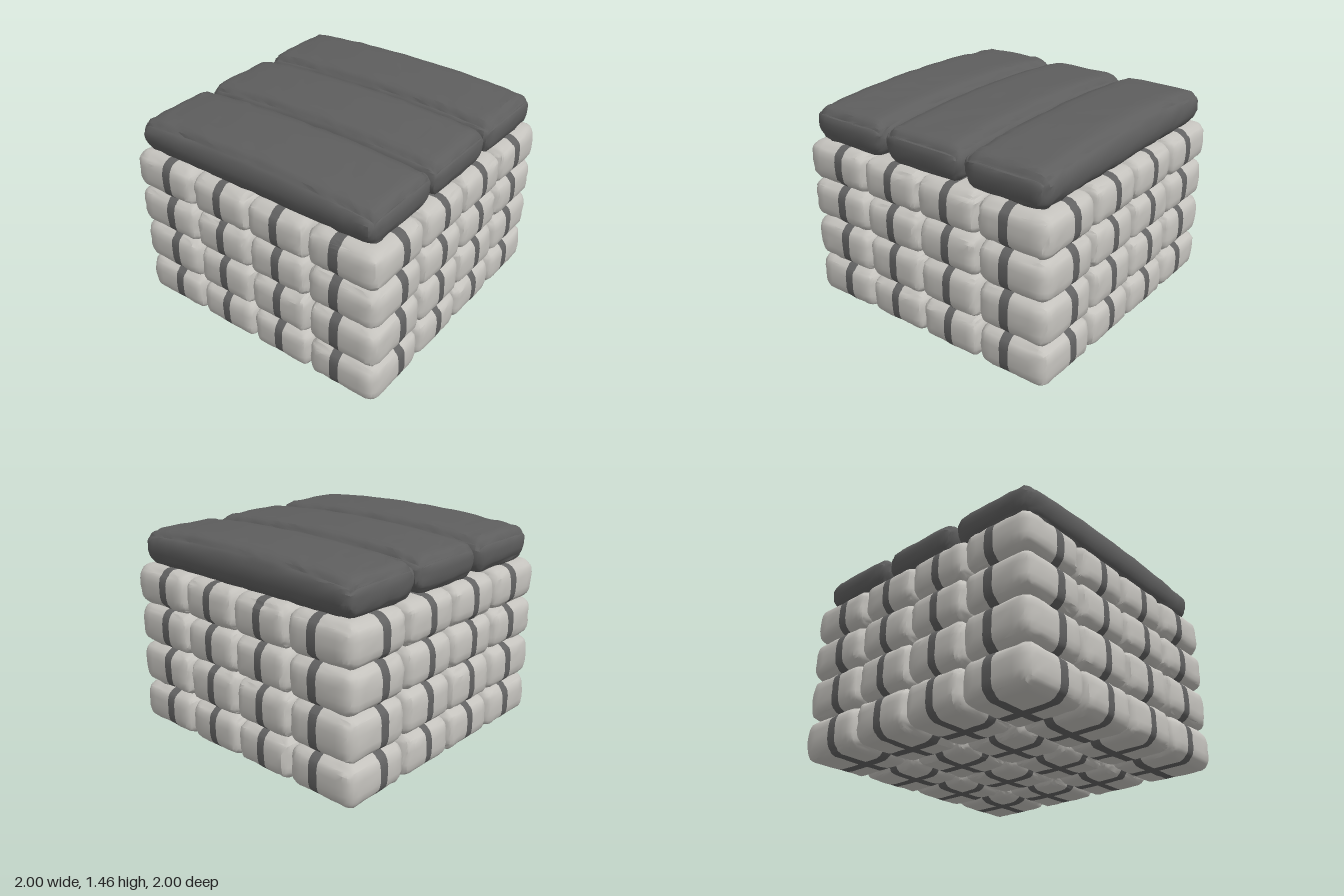
import * as THREE from 'three';
import { toCreasedNormals } from 'three/addons/utils/BufferGeometryUtils.js';

const fabric = new THREE.MeshStandardMaterial({ color: 0xc4c2bd });
fabric.name = 'pale fabric';
const webbing = new THREE.MeshStandardMaterial({ color: 0x626262 });
webbing.name = 'grey webbing';
const tarp = new THREE.MeshStandardMaterial({ color: 0x5e5e5e });
tarp.name = 'dark tarpaulin';

// Smooth repeatable noise, 0..1
function hash(x, y, z) {
  const s = Math.sin(x * 127.1 + y * 311.7 + z * 74.7) * 43758.5453;
  return s - Math.floor(s);
}
function noise(x, y, z) {
  const c = [x, y, z].map(Math.floor);
  const f = [x - c[0], y - c[1], z - c[2]].map((t) => t * t * (3 - 2 * t));
  let sum = 0;
  for (let i = 0; i < 8; i++) {
    const b = [i & 1, (i >> 1) & 1, i >> 2];
    const weight = b.reduce((w, on, a) => w * (on ? f[a] : 1 - f[a]), 1);
    sum += weight * hash(c[0] + b[0], c[1] + b[1], c[2] + b[2]);
  }
  return sum;
}

// Grid lines across a cushion, from -1 to 1
const STRAP = 0.128;
const mirrored = (half) => [...half.map((t) => -t).reverse(), ...half];
const wideLines = mirrored([STRAP, 0.4, 0.62, 0.78, 0.9, 1]);
const lowLines = [-1, -0.85, -0.62, -0.3, 0, 0.3, 0.62, 0.85, 1];
const longLines = Array.from({ length: 33 }, (_, i) => Math.sin(((i / 16 - 1) * Math.PI) / 2.3) / Math.sin(Math.PI / 2.3));

// Stuffed cushion: a box with elliptical edges and creases near the seams.
// shift moves the middle lines; crown lowers the ends of the top.
function cushion({ min, max, radii, lines, shift = [0, 0, 0], crease, crown = 0, straps = false }) {
  const n = lines.map((l) => l.length - 1);
  const geo = new THREE.BoxGeometry(2, 2, 2, ...n);
  const pos = geo.attributes.position;
  const isStrap = [];
  for (let i = 0; i < pos.count; i++) {
    const u = [0, 1, 2].map((a) => lines[a][Math.round(((pos.getComponent(i, a) + 1) / 2) * n[a])]);
    isStrap.push([Math.abs(u[0]) < STRAP + 0.01, Math.abs(u[2]) < STRAP + 0.01]);
    const core = [];
    const dir = new THREE.Vector3();
    for (let a = 0; a < 3; a++) {
      const half = (max[a] - min[a]) / 2;
      const p = half * (u[a] + shift[a] * (1 - u[a] * u[a]));
      const limit = half - radii[a];
      core[a] = THREE.MathUtils.clamp(p, -limit, limit);
      dir.setComponent(a, (p - core[a]) / radii[a]);
    }
    dir.normalize();
    const p = core.map((c, a) => c + dir.getComponent(a) * radii[a] + (min[a] + max[a]) / 2);
    // Folds deepen towards the edges of each face
    const order = u.map(Math.abs).sort();
    const depth = crease * (0.25 + 0.75 * order[1] ** 3);
    const fold = Math.abs(2 * noise(p[0] * 17 + 9, p[1] * 13 + 5, p[2] * 17 + 3) - 1);
    const push = depth * (0.6 * fold + 0.6 * noise(p[0] * 31, p[1] * 31, p[2] * 31));
    for (let a = 0; a < 3; a++) p[a] -= dir.getComponent(a) * push;
    if (u[1] > 0) p[1] -= crown * u[1] * u[2] * u[2];
    pos.setXYZ(i, ...p);
  }
  const index = geo.index.array;
  const plain = [];
  const banded = [];
  for (let t = 0; t < index.length; t += 3) {
    const corners = [0, 1, 2].map((k) => isStrap[index[t + k]]);
    const hit = straps && (corners.every((c) => c[0]) || corners.every((c) => c[1]));
    (hit ? banded : plain).push(t, t + 1, t + 2);
  }
  geo.clearGroups();
  const out = toCreasedNormals(geo, 0.6);
  out.setIndex([...plain, ...banded]);
  if (straps) {
    out.addGroup(0, plain.length, 0);
    out.addGroup(plain.length, banded.length, 1);
  }
  return out;
}

export function createModel() {
  const group = new THREE.Group();
  group.name = 'coveredStackOfBags';

  // Stack of strapped bags, four each way; the hidden core is left out
  const edges = [-1, -0.467, 0, 0.467, 1];
  const floors = [0.01, 0.307, 0.61, 0.897, 1.178];
  const lap = 0.006;
  const bags = new THREE.Group();
  bags.name = 'bags';
  const inner = (i) => i === 1 || i === 2;
  const span = (i) => [edges[i] - (i > 0 ? lap : 0), edges[i + 1] + (i < 3 ? lap : 0)];
  const strapShift = [0.16, 0, 0, -0.16];
  for (let j = 0; j < 4; j++) {
    for (let i = 0; i < 4; i++) {
      for (let k = 0; k < 4; k++) {
        if (inner(i) && inner(j) && inner(k)) continue;
        const [x0, x1] = span(i);
        const [z0, z1] = span(k);
        const bag = new THREE.Mesh(
          cushion({
            min: [x0, floors[j] - (j ? lap : 0), z0],
            max: [x1, floors[j + 1] + lap, z1],
            radii: [i === 0 || i === 3 ? 0.085 : 0.065, 0.1, k === 0 || k === 3 ? 0.085 : 0.065],
            lines: [wideLines, lowLines, wideLines],
            shift: [strapShift[i], 0, strapShift[k]],
            crease: 0.02,
            straps: true,
          }),
          [fabric, webbing]
        );
        bag.name = 'strappedBag';
        bags.add(bag);
      }
    }
  }
  group.add(bags);

  // Three long cushions lying front to back on top
  for (const [x0, x1] of [[-0.965, -0.314], [-0.322, 0.326], [0.318, 0.96]]) {
    const cover = new THREE.Mesh(
      cushion({
        min: [x0, 1.165, -0.95],
        max: [x1, 1.467, 0.95],
        radii: [0.11, 0.148, 0.075],
        lines: [wideLines, lowLines, longLines],
        crease: 0.02,
        crown: 0.05,
      }),
      tarp
    );
    cover.name = 'topCushion';
    group.add(cover);
  }
  return group;
}
